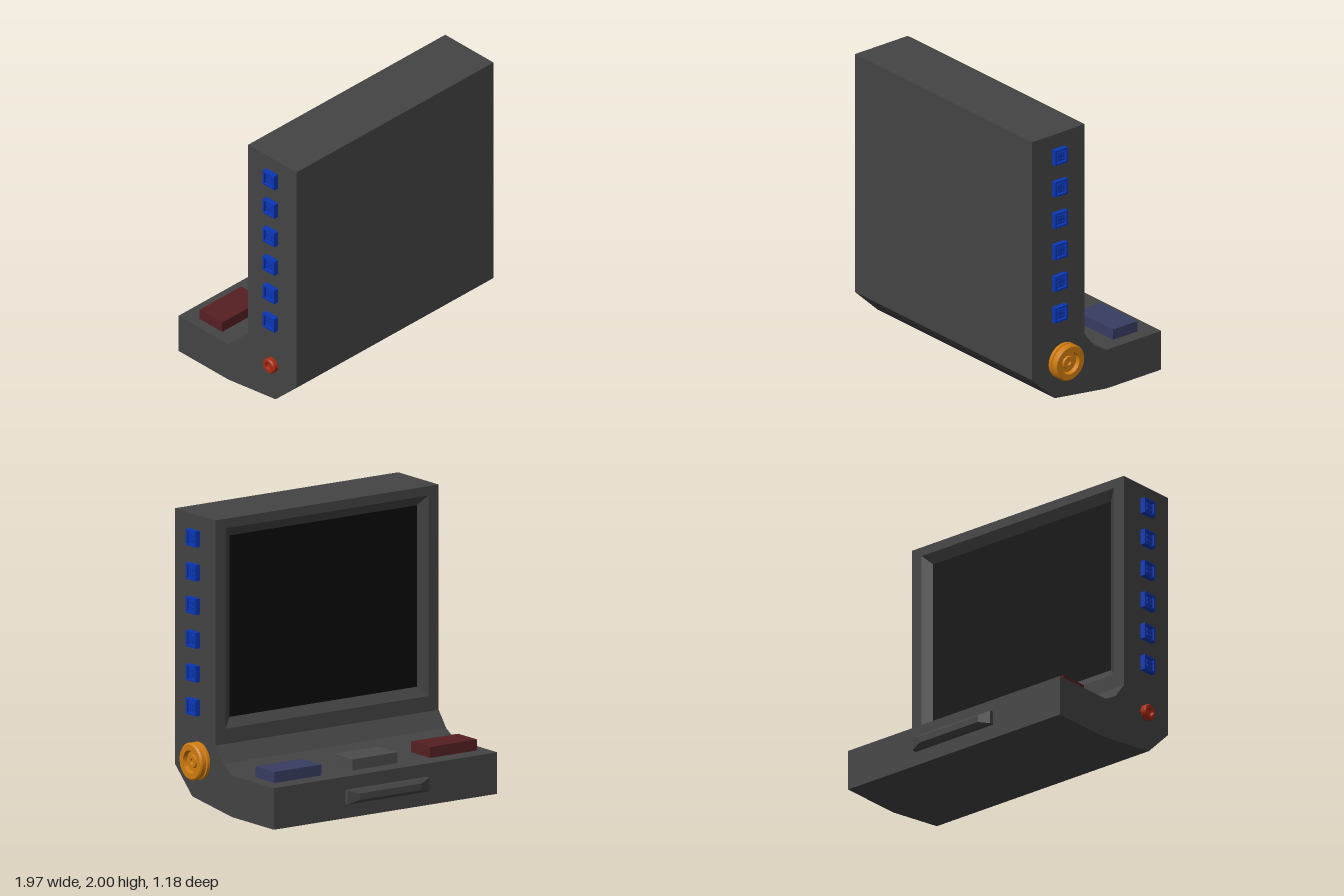
import * as THREE from 'three';

const mat = (color) => new THREE.MeshStandardMaterial({ color, flatShading: true });
const LEFT = 0.905, RIGHT = -0.945; // side walls of the case

export function createModel() {
  const model = new THREE.Group();
  const grey = mat(0x444444), black = mat(0x0a0a0a), blue = mat(0x0a36b4);
  const orange = mat(0xd07c10), red = mat(0xa82a10);

  const add = (parent, name, geometry, material, x = 0, y = 0, z = 0) => {
    const mesh = new THREE.Mesh(geometry, material);
    mesh.name = name;
    mesh.position.set(x, y, z);
    parent.add(mesh);
    return mesh;
  };

  // Skin through rectangles [x0, x1, y0, y1, z], ordered from the outside in, facing -z
  const loft = (rects) => {
    const rings = rects.map(([x0, x1, y0, y1, z]) =>
      [[x1, y0, z], [x0, y0, z], [x0, y1, z], [x1, y1, z]]);
    const pos = [];
    for (let r = 0; r < rings.length - 1; r++) {
      for (let i = 0; i < 4; i++) {
        const j = (i + 1) % 4, a = rings[r], b = rings[r + 1];
        pos.push(...a[i], ...a[j], ...b[j], ...a[i], ...b[j], ...b[i]);
      }
    }
    const g = new THREE.BufferGeometry();
    g.setAttribute('position', new THREE.Float32BufferAttribute(pos, 3));
    g.computeVertexNormals();
    return g;
  };

  // Case: side profile (z, y) extruded across the width, stepped back for the bezel
  const profile = [
    [0.59, 2], [0.175, 2], [0.175, 0.455], [0.13, 0.455], [0.045, 0.345], [-0.06, 0.285],
    [-0.535, 0.285], [-0.535, 0], [-0.06, 0], [0.39, 0.06], [0.59, 0.25],
  ];
  const side = new THREE.Shape(profile.map(([z, y]) => new THREE.Vector2(-z, y)));
  const caseGeo = new THREE.ExtrudeGeometry(side, { depth: LEFT - RIGHT, bevelEnabled: false });
  add(model, 'case', caseGeo.rotateY(Math.PI / 2), grey, RIGHT);

  // Bezel sloping in to the screen
  add(model, 'screenBezel', loft([
    [RIGHT, LEFT, 0.455, 2, 0.175],
    [RIGHT, LEFT, 0.455, 2, 0.13],
    [RIGHT + 0.085, LEFT - 0.085, 0.56, 1.935, 0.13],
    [RIGHT + 0.15, LEFT - 0.15, 0.625, 1.87, 0.174],
  ]), grey);
  add(model, 'screen', new THREE.PlaneGeometry(1.55, 1.245).rotateY(Math.PI), black, -0.02, 1.2475, 0.173);

  // Bevelled latch on the edge of the base
  add(model, 'latch', loft([
    [-0.36, 0.315, 0.1, 0.195, -0.535],
    [-0.36, 0.315, 0.1, 0.195, -0.567],
    [-0.275, 0.235, 0.125, 0.17, -0.592],
    [-0.02, -0.02, 0.147, 0.147, -0.592],
  ]), grey);

  // Three large keys on the base
  const keys = [
    ['redKey', -0.87, -0.48, 0x551f22],
    ['greyKey', -0.21, 0.16, 0x4c4c4c],
    ['blueKey', 0.42, 0.81, 0x383c62],
  ];
  for (const [name, x0, x1, color] of keys) {
    add(model, name, new THREE.BoxGeometry(x1 - x0, 0.085, 0.215), mat(color), (x0 + x1) / 2, 0.3175, -0.302);
  }

  // Square side button: raised rim, inner pad and four small pins
  const square = (Type, s) => new Type([[-s, -s], [s, -s], [s, s], [-s, s]].map((p) => new THREE.Vector2(...p)));
  const rimShape = square(THREE.Shape, 0.055);
  rimShape.holes.push(square(THREE.Path, 0.041));
  const rimGeo = new THREE.ExtrudeGeometry(rimShape, { depth: 0.037, bevelEnabled: false });
  const floorGeo = new THREE.BoxGeometry(0.09, 0.09, 0.015);
  const padGeo = new THREE.BoxGeometry(0.062, 0.062, 0.03);
  const pinGeo = new THREE.BoxGeometry(0.012, 0.012, 0.008);
  for (const s of [1, -1]) {
    for (let i = 0; i < 6; i++) {
      const button = new THREE.Group();
      button.name = 'sideButton';
      add(button, 'buttonRim', rimGeo, blue);
      add(button, 'buttonFloor', floorGeo, blue, 0, 0, 0.0075);
      add(button, 'buttonPad', padGeo, blue, 0, 0, 0.015);
      for (const u of [-1, 1]) for (const v of [-1, 1]) {
        add(button, 'buttonPin', pinGeo, blue, u * 0.016, v * 0.016, 0.032);
      }
      button.position.set(s > 0 ? LEFT : RIGHT, 0.683 + i * 0.2315, 0.36);
      button.rotation.y = s * Math.PI / 2;
      model.add(button);
    }
  }

  // Round knobs: (radius, height) profiles turned about the x axis
  const knob = (name, points, material, s, y, z) => {
    const geo = new THREE.LatheGeometry(points.map((p) => new THREE.Vector2(...p)), 48);
    add(model, name, geo.rotateZ(-s * Math.PI / 2), material, s > 0 ? LEFT : RIGHT, y, z);
  };
  knob('largeKnob', [
    [0.128, 0], [0.128, 0.022], [0.116, 0.027], [0.116, 0.033], [0.128, 0.038], [0.128, 0.064],
    [0.118, 0.075], [0.078, 0.075], [0.072, 0.045], [0.046, 0.045], [0.042, 0.058], [0.02, 0.058],
    [0.015, 0.048], [0, 0.048],
  ], orange, 1, 0.32, 0.315);
  knob('smallKnob', [
    [0.055, 0], [0.055, 0.03], [0.047, 0.04], [0.03, 0.04], [0.025, 0.018], [0, 0.018],
  ], red, -1, 0.33, 0.36);

  return model;
}
